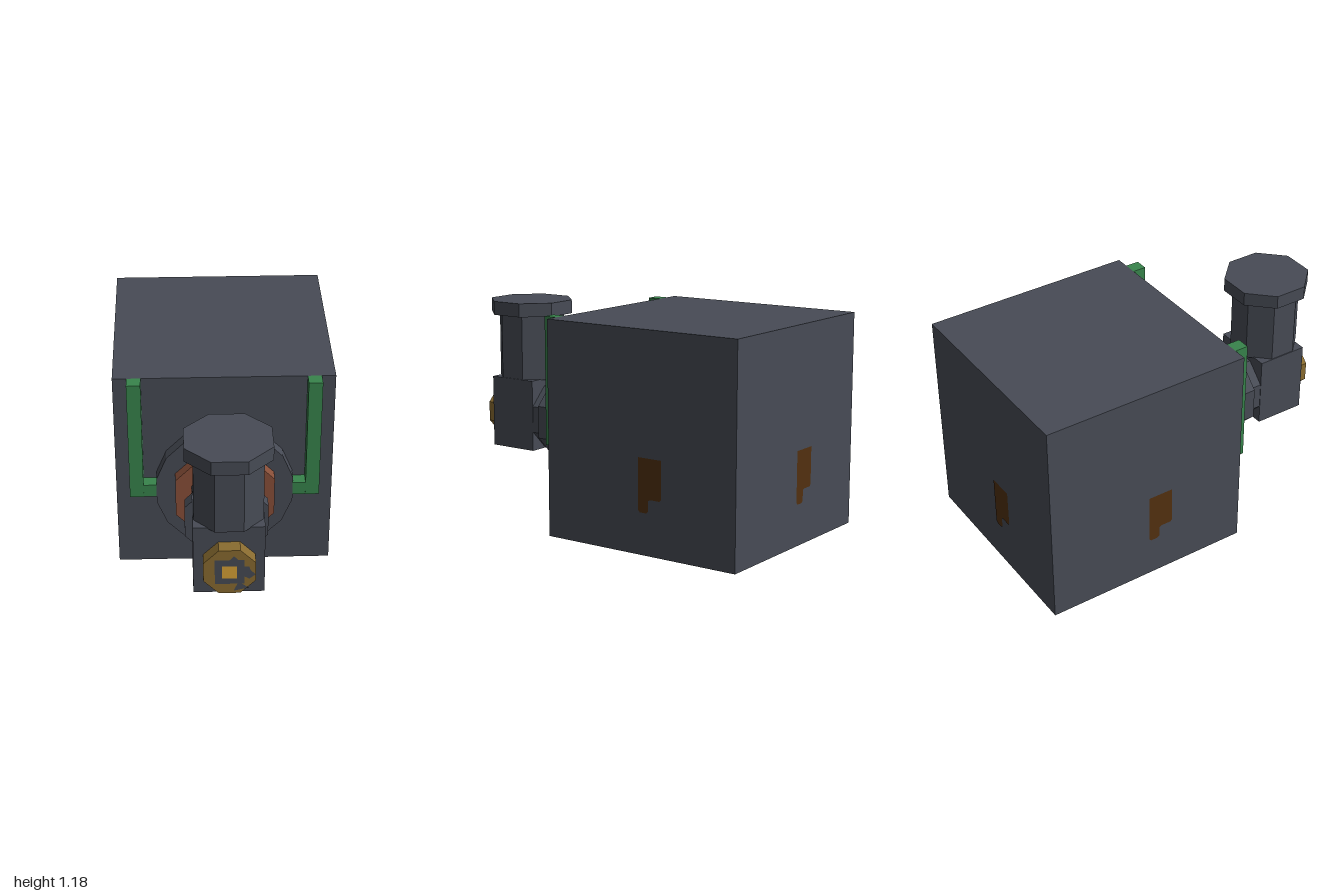
import * as THREE from 'three';

const paint = (name, color) => {
  const m = new THREE.MeshStandardMaterial({ color });
  m.name = name;
  m.flatShading = true;
  return m;
};

export function createModel() {
  const group = new THREE.Group();
  const slate = paint('slate', 0x474b55);
  const green = paint('green', 0x38844c);
  const copper = paint('copper', 0x8a5039);
  const brass = paint('brass', 0x8a6c30);
  const gold = paint('gold', 0xd8a236);
  const brown = paint('brown', 0x52300f);
  const AXIS = 0.518; // height of the horizontal pipe

  const add = (name, geometry, material, parent = group) => {
    const mesh = new THREE.Mesh(geometry, material);
    mesh.name = name;
    parent.add(mesh);
    return mesh;
  };
  // Box from its min and max corners
  const box = (name, mat, x0, x1, y0, y1, z0, z1) =>
    add(name, new THREE.BoxGeometry(x1 - x0, y1 - y0, z1 - z0), mat)
      .position.set((x0 + x1) / 2, (y0 + y1) / 2, (z0 + z1) / 2);
  // Regular prism with flat sides on the axes, measured across the flats
  const prism = (apothem, length, sides) => {
    const r = apothem / Math.cos(Math.PI / sides);
    return new THREE.CylinderGeometry(r, r, length, sides, 1, false, Math.PI / sides);
  };
  const alongZ = (name, mat, apothem, z0, z1, sides = 8) =>
    add(name, prism(apothem, z1 - z0, sides).rotateX(Math.PI / 2), mat)
      .position.set(0, AXIS, (z0 + z1) / 2);
  const alongY = (name, mat, apothem, y0, y1) =>
    add(name, prism(apothem, y1 - y0, 8), mat).position.set(0, (y0 + y1) / 2, 0.776);
  const plate = (points) =>
    new THREE.ShapeGeometry(new THREE.Shape(points.map(([x, y]) => new THREE.Vector2(x, y))));

  // Main block
  box('body', slate, -0.59, 0.59, 0, 1.18, -1, 0.182);

  // Horizontal pipe with its flanges
  alongZ('wallFlange', slate, 0.37, 0.18, 0.258, 16);
  alongZ('copperCollar', copper, 0.267, 0.255, 0.33);
  alongZ('horizontalPipe', slate, 0.18, 0.32, 0.64);
  alongZ('pipeFlange', slate, 0.221, 0.48, 0.555);

  // Elbow block and upright pipe
  box('elbowBlock', slate, -0.183, 0.183, 0.335, 0.74, 0.628, 0.92);
  alongY('uprightPipe', slate, 0.178, 0.735, 1.11);
  alongY('pipeCap', slate, 0.222, 1.105, 1.182);

  // Round valve on the elbow with its painted face
  alongZ('valve', brass, 0.133, 0.915, 0.996);
  add('valveMarking', plate([
    [-0.075, 0.445], [0.04, 0.445], [0.02, 0.4], [0.06, 0.41], [0.1, 0.418],
    [0.06, 0.445], [0.075, 0.445], [0.075, 0.49], [0.1, 0.475], [0.132, 0.502],
    [0.105, 0.53], [0.1, 0.552], [0.075, 0.552], [0.075, 0.593], [0.045, 0.593],
    [0.022, 0.618], [0, 0.593], [-0.075, 0.593],
  ]), slate).position.z = 0.998;
  add('valveCentre', new THREE.PlaneGeometry(0.076, 0.076), gold).position.set(0, AXIS, 1);

  // L-shaped green pipes on both sides of the flange
  for (const s of [-1, 1]) {
    const [a, b] = s > 0 ? [0.44, 0.515] : [-0.515, -0.44];
    box('greenRiser', green, a, b, 0.48, 1.18, 0.182, 0.259);
    const [c, d] = s > 0 ? [0.34, 0.44] : [-0.44, -0.34];
    box('greenFoot', green, c, d, 0.48, 0.555, 0.182, 0.257);
  }

  // Painted notched patches on the sides and back
  const patch = plate([
    [0.012, 0.228], [0.052, 0.228], [0.065, 0.24], [0.065, 0.295], [0.078, 0.302],
    [0.135, 0.302], [0.145, 0.312], [0.145, 0.518], [0, 0.518], [0, 0.24],
  ]);
  for (const [name, turn] of [['leftPatch', 1], ['backPatch', 2], ['rightPatch', 3]]) {
    const pivot = new THREE.Group();
    pivot.name = name;
    pivot.position.z = -0.409;
    pivot.rotation.y = turn * Math.PI / 2;
    add(name + 'Plate', patch, brown, pivot).position.z = 0.594;
    group.add(pivot);
  }
  return group;
}
